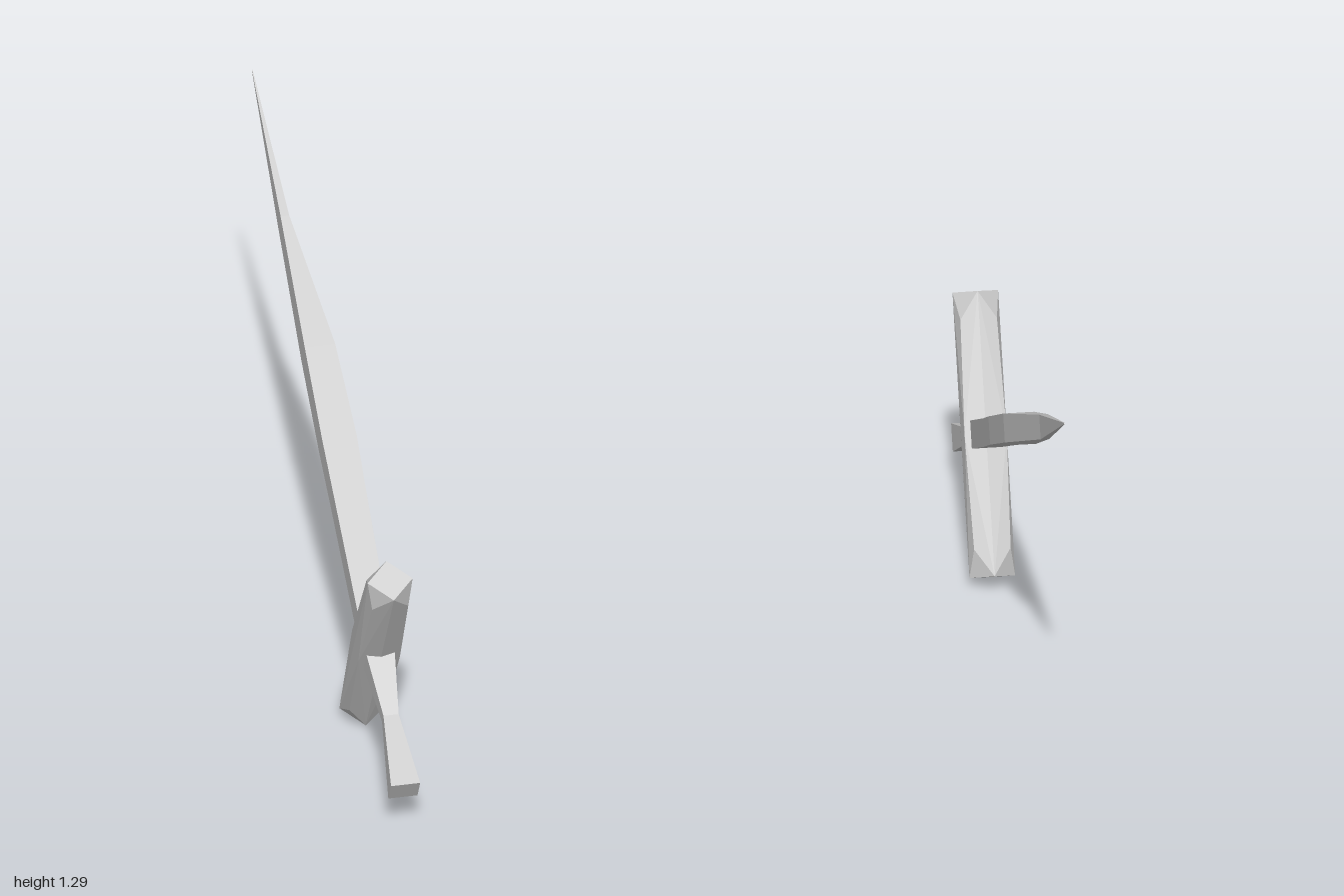
import * as THREE from 'three';
import { ConvexGeometry } from 'three/addons/geometries/ConvexGeometry.js';

const material = new THREE.MeshStandardMaterial({ color: 0xcccccc, flatShading: true });

// Four-sided loft along -z. Each section: [distance, left x, right x, bottom y, top y, lower right y]
function loft(sections) {
  const rings = sections.map(([s, x0, x1, y0, y1, y2 = y0]) =>
    [[x0, y0, -s], [x0, y1, -s], [x1, y1, -s], [x1, y2, -s]]);
  const pos = [];
  const quad = (a, b, c, d) => pos.push(...a, ...b, ...c, ...a, ...c, ...d);
  for (let i = 0; i < rings.length - 1; i++) {
    for (let j = 0; j < 4; j++) {
      const k = (j + 1) % 4;
      quad(rings[i][j], rings[i][k], rings[i + 1][k], rings[i + 1][j]);
    }
  }
  // end caps
  const first = rings[0], last = rings[rings.length - 1];
  quad(first[3], first[2], first[1], first[0]);
  quad(...last);
  const g = new THREE.BufferGeometry();
  g.setAttribute('position', new THREE.Float32BufferAttribute(pos, 3));
  g.computeVertexNormals();
  return g;
}

// Crossguard: diamond-shaped ends, bevelled octagonal body slightly swollen in the middle
function guardGeometry() {
  const pts = [];
  const add = (x, y, z) => pts.push(new THREE.Vector3(x, y, z));
  for (const a of [-1, 1]) {
    add(a * 0.065, 0.404, 0);
    add(a * 0.065, -0.404, 0);
    add(0, 0.404, a * 0.0625);
    add(0, -0.404, a * 0.0625);
    for (const b of [-1, 1]) {
      for (const y of [-0.325, 0.325]) add(a * 0.052, y, b * 0.047);
      add(a * 0.06, 0, b * 0.05);
    }
  }
  return new ConvexGeometry(pts);
}

export function createModel() {
  const model = new THREE.Group();
  model.name = 'sword';

  const add = (name, geometry) => {
    const mesh = new THREE.Mesh(geometry, material);
    mesh.name = name;
    model.add(mesh);
  };

  // Waisted square grip, flaring to the pommel end
  add('grip', loft([
    [-0.467, -0.042, 0.042, -0.04, 0.04],
    [-0.237, -0.022, 0.022, -0.02, 0.02],
    [-0.04, -0.042, 0.042, -0.042, 0.042],
  ]));

  add('guard', guardGeometry());

  // Blade: straight on the left, tapering from the right to the point
  add('blade', loft([
    [0.04, -0.042, 0.042, -0.04, 0.04],
    [0.45, -0.047, 0.047, -0.04, 0.04],
    [0.63, -0.05, 0.05, -0.042, 0.043, -0.037],
    [0.92, -0.05, 0.038, -0.045, 0.046, -0.036],
    [1.34, -0.045, -0.02, -0.037, 0.033],
    [1.82, -0.041, -0.039, -0.002, 0.001],
  ]));

  // The whole sword leans back with its point raised
  model.rotation.x = Math.PI / 6;
  model.position.set(0, 0.388, 0.575);
  const root = new THREE.Group();
  root.name = 'model';
  root.add(model);
  return root;
}
